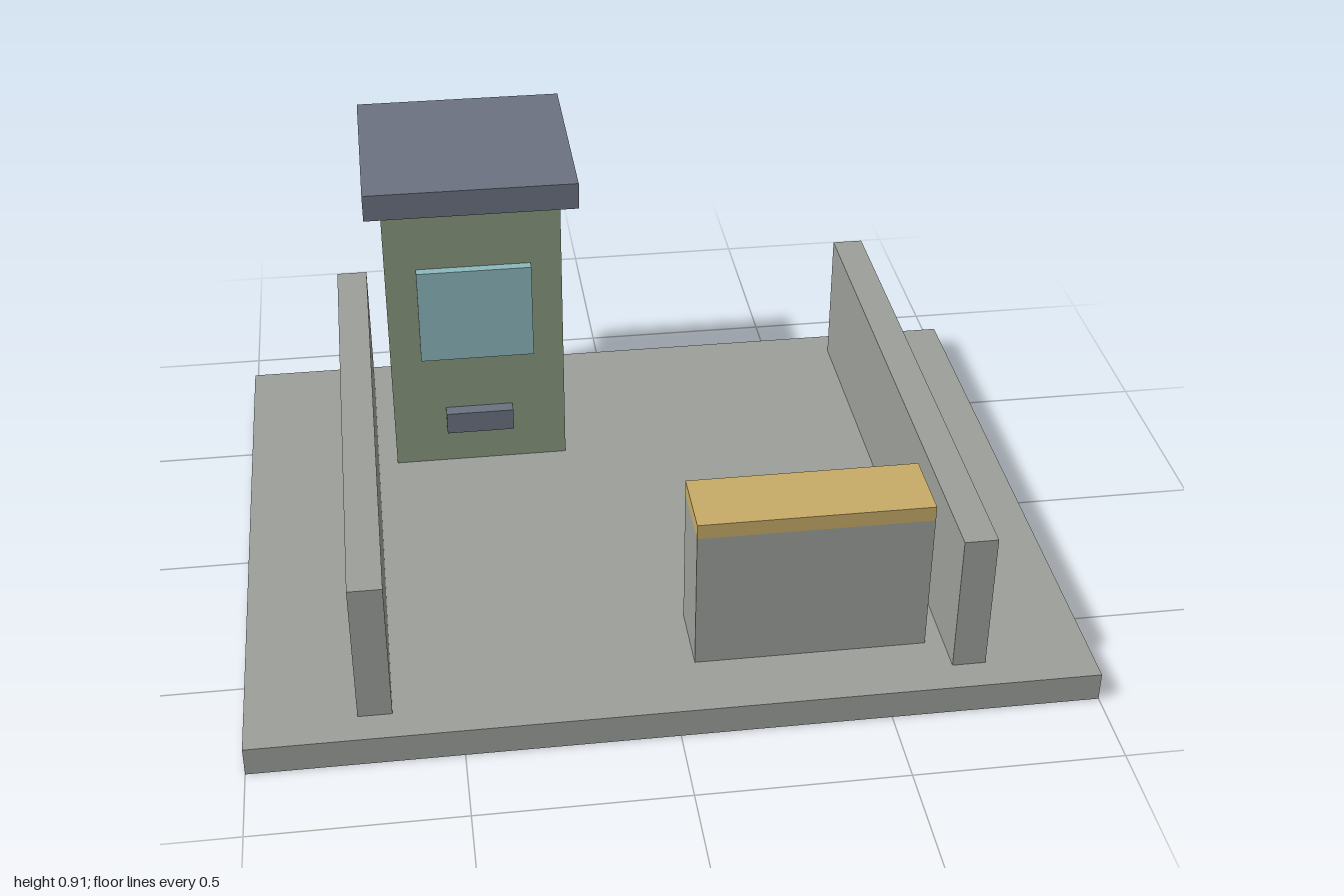
import * as THREE from 'three';

const material = (name, color) => {
  const m = new THREE.MeshStandardMaterial({ color });
  m.name = name;
  return m;
};

export function createModel() {
  const model = new THREE.Group();
  model.name = 'kioskCourt';
  const stone = material('stoneGrey', 0x9b9f99);
  const green = material('sageGreen', 0x8a987e);
  const slate = material('slate', 0x6b7280);
  const glass = material('paleBlueGlass', 0x8cb8be);
  const wood = material('warmWood', 0xc6ab68);

  // Box given by its extents along each axis
  const block = (name, mat, [x0, x1], [y0, y1], [z0, z1], parent = model) => {
    const mesh = new THREE.Mesh(new THREE.BoxGeometry(x1 - x0, y1 - y0, z1 - z0), mat);
    mesh.position.set((x0 + x1) / 2, (y0 + y1) / 2, (z0 + z1) / 2);
    mesh.name = name;
    parent.add(mesh);
    return mesh;
  };

  const floor = 0.073;
  block('base', stone, [-1, 1], [0, floor], [-0.8, 0.8]);

  // Matching side walls
  for (const [name, x] of [['rightWall', -0.7], ['leftWall', 0.7]]) {
    block(name, stone, [x - 0.04, x + 0.04], [floor, 0.433], [-0.72, 0.72]);
  }

  // Booth with overhanging roof, window and tray
  const booth = new THREE.Group();
  booth.name = 'booth';
  model.add(booth);
  block('boothBody', green, [-0.61, -0.155], [floor, 0.838], [-0.74, -0.3], booth);
  block('boothRoof', slate, [-0.652, -0.112], [0.838, 0.908], [-0.79, -0.25], booth);
  block('boothWindow', glass, [-0.53, -0.235], [0.404, 0.664], [-0.3, -0.275], booth);
  block('boothTray', slate, [-0.472, -0.295], [0.18, 0.24], [-0.3, -0.265], booth);

  // Counter with a wooden top
  const counter = new THREE.Group();
  counter.name = 'counter';
  model.add(counter);
  block('counterBody', stone, [0.057, 0.615], [floor, 0.435], [0.45, 0.63], counter);
  block('counterTop', wood, [0.057, 0.615], [0.435, 0.473], [0.45, 0.63], counter);

  return model;
}
